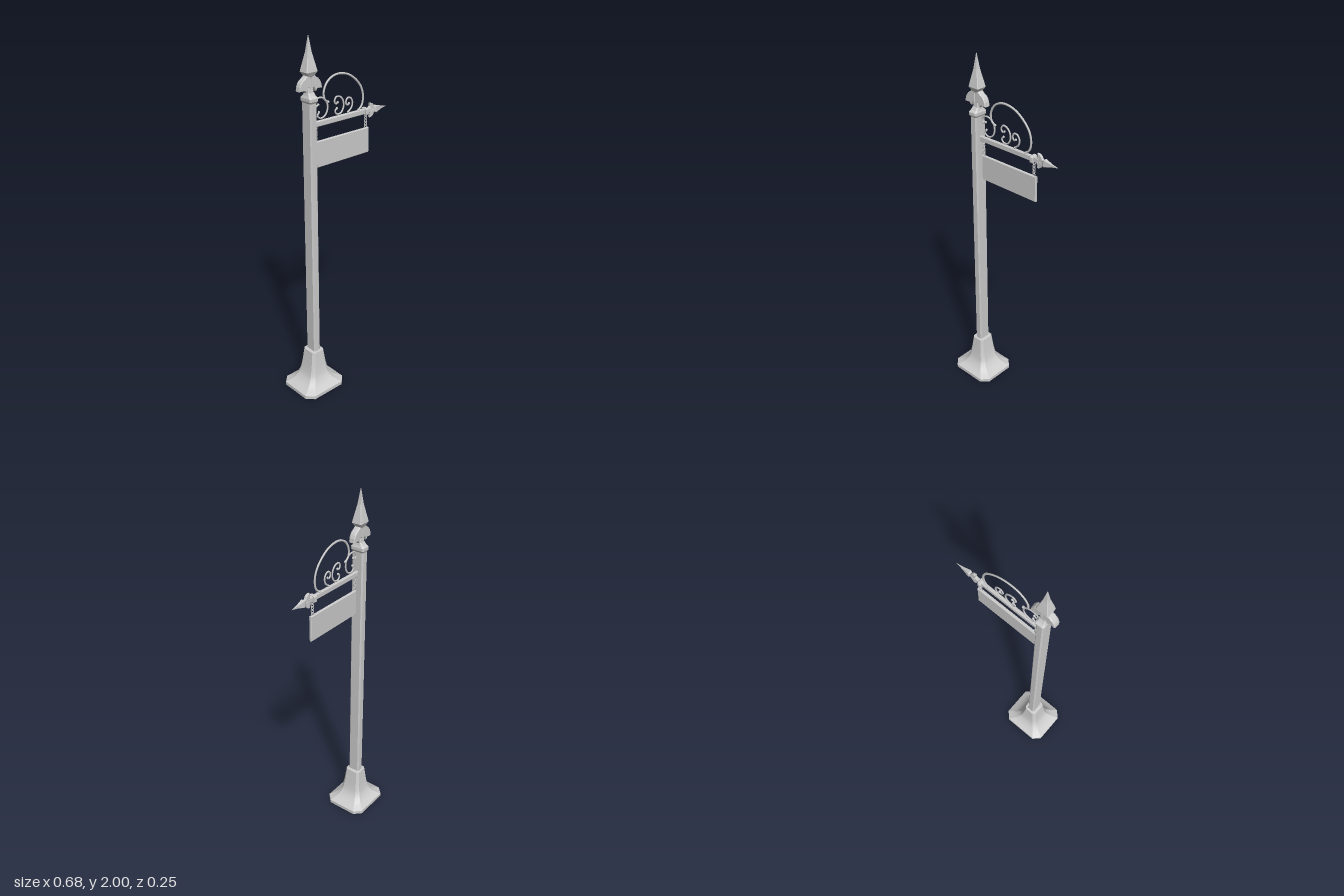
import * as THREE from 'three';

const mat = new THREE.MeshStandardMaterial({ color: 0xcccccc, side: THREE.DoubleSide });
const flat = new THREE.MeshStandardMaterial({ color: 0xcccccc, side: THREE.DoubleSide, flatShading: true });
const POST_X = -0.2, ARM_Y = 1.556;

function add(parent, name, geometry, material = flat, x = 0, y = 0, z = 0) {
  const mesh = new THREE.Mesh(geometry, material);
  mesh.name = name;
  mesh.position.set(x, y, z);
  parent.add(mesh);
  return mesh;
}

// Loft of chamfered rectangles: rings are [y, halfX, halfZ, chamfer].
// Each side has its own vertices, so corners stay sharp while profiles shade smoothly;
// a repeated ring makes a crease in the profile.
function loft(rings, capTop = true, capBottom = false) {
  const pos = [], idx = [];
  const corners = ([y, a, b, c]) => [
    [a, b - c], [a - c, b], [c - a, b], [-a, b - c],
    [-a, c - b], [c - a, -b], [a - c, -b], [a, c - b],
  ].map(([x, z]) => [x, y, z]);
  const loops = rings.map(corners);
  for (let s = 0; s < 8; s++) {
    const start = pos.length / 3;
    for (const loop of loops) pos.push(...loop[s], ...loop[(s + 1) % 8]);
    for (let i = 0; i < rings.length - 1; i++) {
      if (rings[i].every((v, k) => v === rings[i + 1][k])) continue;
      const a = start + i * 2, b = a + 1, c = a + 2, d = a + 3;
      idx.push(a, c, b, b, c, d);
    }
  }
  const cap = (loop, up) => {
    const start = pos.length / 3;
    for (const p of loop) pos.push(...p);
    for (let i = 1; i < 7; i++) idx.push(start, start + (up ? i + 1 : i), start + (up ? i : i + 1));
  };
  if (capTop) cap(loops[loops.length - 1], true);
  if (capBottom) cap(loops[0], false);
  const g = new THREE.BufferGeometry();
  g.setAttribute('position', new THREE.Float32BufferAttribute(pos, 3));
  g.setIndex(idx);
  g.computeVertexNormals();
  return g;
}

// Spearhead with two drooping side leaves, 0.28 tall, standing on its origin
function finial(name) {
  const group = new THREE.Group();
  group.name = name;
  add(group, 'finialStem', loft([
    [0, 0.018, 0.018, 0.005], [0.03, 0.015, 0.015, 0.004], [0.08, 0.014, 0.013, 0.004],
  ]));
  add(group, 'spearhead', loft([
    [0.075, 0.014, 0.013, 0.003], [0.085, 0.02, 0.018, 0.003], [0.108, 0.035, 0.03, 0.005],
    [0.125, 0.031, 0.027, 0.004], [0.2, 0.013, 0.012, 0.002], [0.28, 0.001, 0.001, 0.0003],
  ], true, true));
  const leaf = new THREE.Shape();
  leaf.moveTo(0.005, 0.03);
  leaf.lineTo(0.018, 0.036);
  leaf.lineTo(0.03, 0.012);
  leaf.lineTo(0.04, 0.024);
  leaf.lineTo(0.068, 0.022);
  leaf.quadraticCurveTo(0.066, 0.062, 0.036, 0.076);
  leaf.lineTo(0.016, 0.092);
  leaf.lineTo(0.005, 0.086);
  const leafGeo = new THREE.ExtrudeGeometry(leaf, {
    depth: 0.024, curveSegments: 4, bevelThickness: 0.006, bevelSize: 0.003, bevelSegments: 1,
  });
  leafGeo.translate(0, 0, -0.012);
  add(group, 'leftLeaf', leafGeo);
  add(group, 'rightLeaf', leafGeo).rotation.y = Math.PI;
  return group;
}

// Wrought scroll along points in the xy plane, slimmer in z
function scroll(parent, name, points, radius) {
  const curve = new THREE.CatmullRomCurve3(points.map(([x, y]) => new THREE.Vector3(x, y, 0)));
  const mesh = add(parent, name, new THREE.TubeGeometry(curve, 40, radius, 6), mat);
  mesh.scale.z = 0.8;
  for (const p of [points[0], points[points.length - 1]])
    add(parent, name + 'Tip', new THREE.SphereGeometry(radius * 1.35, 6, 5), mat, p[0], p[1]);
}

export function createModel() {
  const model = new THREE.Group();
  model.name = 'signPost';

  // Hollow flared base
  const foot = [0.02, 0.14, 0.127, 0.039], shoulder = [0.235, 0.04, 0.047, 0.012];
  add(model, 'base', loft([
    [0, 0.14, 0.127, 0.039], foot, foot,
    [0.034, 0.115, 0.106, 0.032], [0.05, 0.092, 0.088, 0.026], [0.075, 0.073, 0.073, 0.021],
    [0.1, 0.062, 0.064, 0.018], [0.15, 0.052, 0.056, 0.015], shoulder, shoulder,
    [0.238, 0.02, 0.03, 0.007],
  ]), mat, POST_X);

  // Post and its stepped cap
  add(model, 'post', loft([[0.2, 0.022, 0.035, 0.007], [1.69, 0.022, 0.035, 0.007]]), mat, POST_X);
  add(model, 'postCap', loft([
    [1.675, 0.022, 0.035, 0.006], [1.685, 0.027, 0.041, 0.007], [1.7, 0.027, 0.041, 0.007],
    [1.712, 0.022, 0.028, 0.006], [1.725, 0.019, 0.02, 0.005],
  ], true, true), flat, POST_X);
  const top = finial('topFinial');
  top.position.set(POST_X, 1.72, 0);
  model.add(top);

  // Arm with end collar and a small finial pointing outward
  const arm = new THREE.Group();
  arm.name = 'arm';
  model.add(arm);
  const along = (name, geo, x) => { add(arm, name, geo, flat, x, ARM_Y).rotation.z = -Math.PI / 2; };
  along('armBar', loft([[0, 0.015, 0.009, 0.004], [0.4, 0.015, 0.009, 0.004]], true, true), -0.185);
  along('armCollar', loft([
    [0, 0.017, 0.017, 0.006], [0.004, 0.02, 0.021, 0.007],
    [0.016, 0.02, 0.021, 0.007], [0.02, 0.017, 0.017, 0.006],
  ], true, true), 0.172);
  const tip = finial('armFinial');
  tip.scale.set(0.56, 0.49, 0.4);
  tip.rotation.z = -Math.PI / 2;
  tip.position.set(0.203, ARM_Y, 0);
  arm.add(tip);

  // Scrollwork above the arm
  const work = new THREE.Group();
  work.name = 'scrollwork';
  model.add(work);
  scroll(work, 'largeLoop', [
    [-0.078, 1.655], [-0.1, 1.672], [-0.106, 1.71], [-0.084, 1.755], [-0.045, 1.78], [0, 1.786],
    [0.06, 1.772], [0.115, 1.735], [0.152, 1.69], [0.166, 1.64], [0.158, 1.595], [0.135, 1.572],
  ], 0.006);
  scroll(work, 'postScroll', [
    [-0.143, 1.653], [-0.156, 1.645], [-0.168, 1.658], [-0.158, 1.68], [-0.125, 1.686],
    [-0.092, 1.665], [-0.08, 1.628], [-0.095, 1.592], [-0.126, 1.58], [-0.148, 1.595], [-0.138, 1.613],
  ], 0.005);
  scroll(work, 'middleScroll', [
    [-0.012, 1.64], [-0.024, 1.634], [-0.034, 1.65], [-0.022, 1.67], [0.002, 1.668],
    [0.024, 1.645], [0.028, 1.61], [0.01, 1.582], [-0.018, 1.58], [-0.03, 1.598], [-0.018, 1.61],
  ], 0.005);
  scroll(work, 'endScroll', [
    [0.066, 1.62], [0.054, 1.614], [0.044, 1.63], [0.055, 1.65], [0.076, 1.648],
    [0.09, 1.625], [0.084, 1.597], [0.06, 1.576],
  ], 0.005);

  // Hanging board
  const board = new THREE.Shape();
  board.moveTo(-0.184, -0.067);
  board.lineTo(0.184, -0.067);
  board.lineTo(0.184, 0.067);
  board.lineTo(-0.184, 0.067);
  const boardGeo = new THREE.ExtrudeGeometry(board, {
    depth: 0.01, bevelThickness: 0.003, bevelSize: 0.003, bevelSegments: 1,
  });
  add(model, 'signBoard', boardGeo, flat, 0.02, 1.395, -0.005);

  // Two chains of alternating links between arm and board
  for (const x of [-0.16, 0.188]) {
    const chain = new THREE.Group();
    chain.name = 'chain';
    model.add(chain);
    for (let i = 0; i < 5; i++) {
      const link = add(chain, 'chainLink', new THREE.TorusGeometry(0.0085, 0.0025, 5, 10), mat, x, 1.535 - i * 0.0165);
      link.scale.y = 1.3;
      link.rotation.y = i % 2 ? Math.PI / 2 : 0;
    }
  }
  return model;
}
